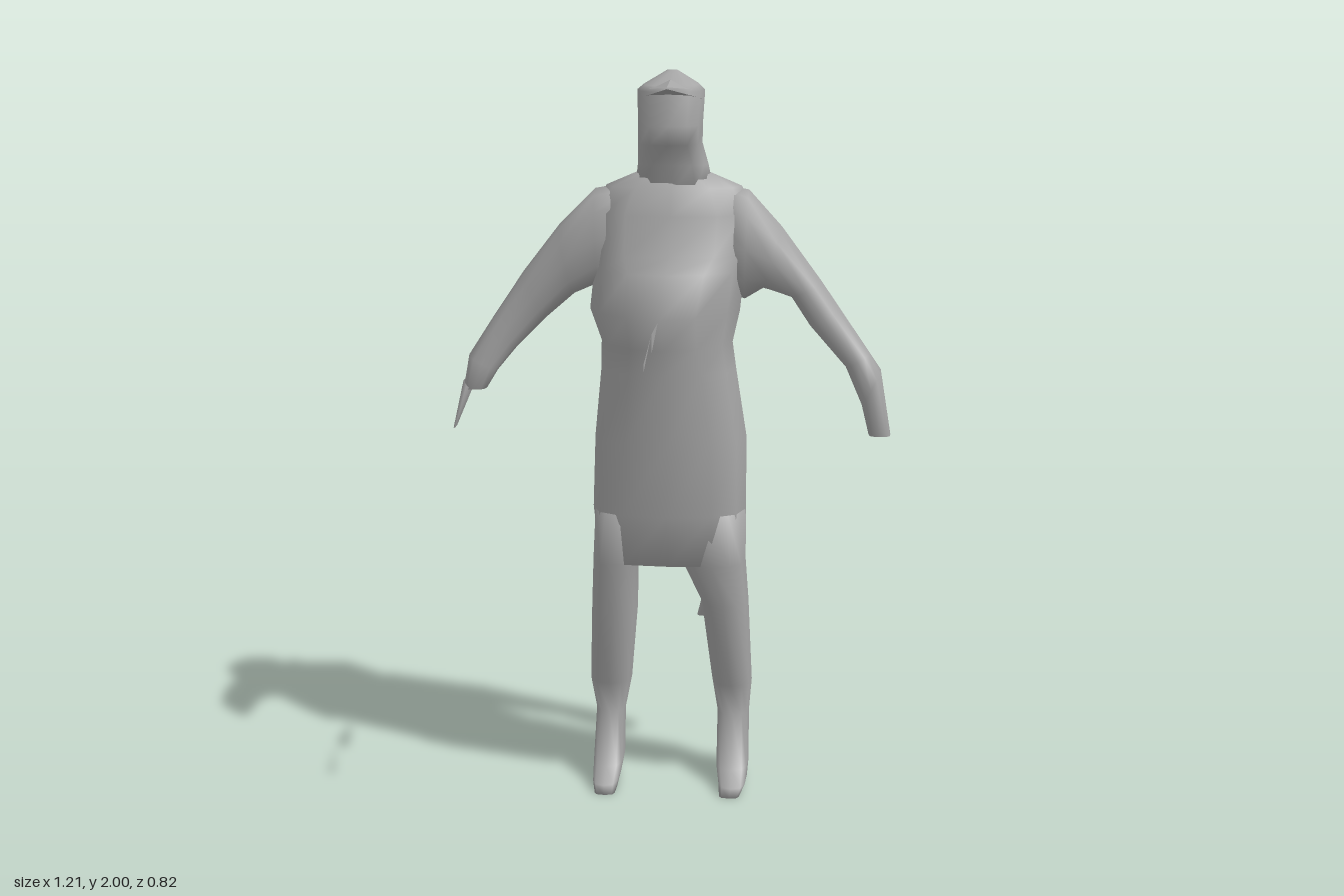
import * as THREE from 'three';

const SIDES = 12;

// Each ring: [ax, ay, bx, by, zFront, zBack, roundness]; a and b are the two ends of its width.
function loft(rings) {
  const pos = [], idx = [];
  for (const [ax, ay, bx, by, zf, zb, e = 0.8] of rings) {
    const cz = (zf + zb) / 2, rz = (zf - zb) / 2;
    for (let i = 0; i < SIDES; i++) {
      const t = (i / SIDES) * Math.PI * 2;
      const c = Math.sign(Math.cos(t)) * Math.abs(Math.cos(t)) ** e;
      const s = Math.sign(Math.sin(t)) * Math.abs(Math.sin(t)) ** e;
      const k = (1 + c) / 2;
      pos.push(ax + (bx - ax) * k, ay + (by - ay) * k, cz + rz * s);
    }
  }
  const n = rings.length;
  for (let r = 0; r < n - 1; r++) {
    for (let i = 0; i < SIDES; i++) {
      const a = r * SIDES + i, b = r * SIDES + (i + 1) % SIDES;
      idx.push(a, a + SIDES, b, b, a + SIDES, b + SIDES);
    }
  }
  // end caps
  for (const r of [0, n - 1]) {
    const [ax, ay, bx, by, zf, zb] = rings[r];
    const centre = pos.length / 3;
    pos.push((ax + bx) / 2, (ay + by) / 2, (zf + zb) / 2);
    for (let i = 0; i < SIDES; i++) {
      const a = r * SIDES + i, b = r * SIDES + (i + 1) % SIDES;
      if (r === 0) idx.push(centre, a, b); else idx.push(centre, b, a);
    }
  }
  // turn faces outward
  const p = (i) => new THREE.Vector3().fromArray(pos, i * 3);
  let volume = 0;
  for (let i = 0; i < idx.length; i += 3) volume += p(idx[i]).dot(p(idx[i + 1]).cross(p(idx[i + 2])));
  if (volume < 0) idx.reverse();
  const g = new THREE.BufferGeometry();
  g.setAttribute('position', new THREE.Float32BufferAttribute(pos, 3));
  g.setIndex(idx);
  g.computeVertexNormals();
  return g;
}

// level ring from x range and z range
const level = (y, x0, x1, zf, zb, e) => [x0, y, x1, y, zf, zb, e];

function triangles(points) {
  const g = new THREE.BufferGeometry();
  g.setAttribute('position', new THREE.Float32BufferAttribute(points.flat(), 3));
  g.computeVertexNormals();
  return g;
}

export function createModel() {
  const model = new THREE.Group();
  const grey = new THREE.MeshStandardMaterial({ color: 0xa6a6a6 });
  grey.name = 'plain grey';
  const thinGrey = grey.clone();
  thinGrey.side = THREE.DoubleSide;
  const add = (name, geometry, material = grey) => {
    const mesh = new THREE.Mesh(geometry, material);
    mesh.name = name;
    model.add(mesh);
  };

  // torso and long apron
  add('torso', loft([
    level(0.65, -0.2, 0.2, -0.1, -0.29, 0.7),
    level(0.8, -0.215, 0.21, -0.06, -0.31, 0.8),
    level(1.0, -0.21, 0.21, -0.05, -0.35, 0.85),
    level(1.2, -0.19, 0.18, -0.03, -0.34, 0.9),
    level(1.27, -0.19, 0.17, -0.03, -0.35, 1),
    level(1.36, -0.22, 0.19, 0.0, -0.36, 1.15),
    level(1.47, -0.21, 0.2, -0.05, -0.36, 1),
    level(1.51, -0.21, 0.21, -0.1, -0.36, 0.8),
    level(1.62, -0.21, 0.22, -0.12, -0.35, 0.8),
    level(1.69, -0.18, 0.19, -0.16, -0.33, 0.9),
    level(1.73, -0.09, 0.1, -0.18, -0.28, 1),
  ]));

  // neck, head with cap, and peak
  add('head', loft([
    level(1.68, -0.1, 0.115, -0.16, -0.28),
    level(1.75, -0.092, 0.1, -0.18, -0.27),
    level(1.81, -0.09, 0.085, -0.12, -0.285),
    level(1.86, -0.09, 0.085, -0.12, -0.3),
    level(1.95, -0.093, 0.09, -0.13, -0.32),
    level(1.965, -0.075, 0.075, -0.14, -0.31),
    level(2.0, -0.015, 0.015, -0.23, -0.26),
  ]));
  add('capPeak', triangles([
    [-0.085, 1.95, -0.2], [0, 1.97, -0.055], [0, 1.98, -0.18],
    [0, 1.98, -0.18], [0, 1.97, -0.055], [0.085, 1.95, -0.2],
    [-0.085, 1.93, -0.18], [0.085, 1.93, -0.18], [0, 1.965, -0.055],
  ]), thinGrey);

  // backpack
  add('backpack', loft([
    level(1.25, -0.03, 0.03, -0.28, -0.35, 0.6),
    level(1.36, -0.08, 0.08, -0.28, -0.41, 0.5),
    level(1.5, -0.1, 0.1, -0.27, -0.395, 0.4),
    level(1.69, -0.12, 0.115, -0.26, -0.41, 0.3),
    level(1.715, -0.1, 0.1, -0.25, -0.33, 0.3),
  ]));

  // arms, from shoulder to hand
  add('leftArm', loft([
    [0.1, 1.7, 0.14, 1.4, -0.16, -0.34],
    [0.21, 1.68, 0.2, 1.38, -0.14, -0.345],
    [0.3, 1.58, 0.25, 1.41, -0.16, -0.33],
    [0.41, 1.43, 0.325, 1.39, -0.175, -0.32],
    [0.46, 1.36, 0.38, 1.31, -0.17, -0.29],
    [0.545, 1.24, 0.48, 1.2, -0.165, -0.25],
    [0.575, 1.2, 0.525, 1.1, -0.13, -0.24],
    [0.605, 1.02, 0.545, 1.02, -0.14, -0.21, 0.6],
  ]));
  add('rightArm', loft([
    [-0.1, 1.7, -0.14, 1.42, -0.16, -0.34],
    [-0.21, 1.68, -0.2, 1.42, -0.15, -0.34],
    [-0.31, 1.58, -0.27, 1.39, -0.16, -0.32],
    [-0.41, 1.45, -0.35, 1.32, -0.175, -0.315],
    [-0.49, 1.33, -0.43, 1.24, -0.17, -0.28],
    [-0.56, 1.22, -0.48, 1.18, -0.16, -0.245],
    [-0.575, 1.13, -0.51, 1.13, -0.155, -0.23],
  ]));
  add('rightFingers', loft([
    [-0.575, 1.15, -0.55, 1.13, -0.155, -0.23],
    [-0.603, 1.02, -0.597, 1.02, -0.16, -0.21],
  ]));

  // legs running into pointed feet
  add('rightLeg', loft([
    level(0.8, -0.21, -0.04, -0.08, -0.305),
    level(0.65, -0.218, -0.09, -0.1, -0.3),
    level(0.5, -0.225, -0.095, -0.13, -0.31),
    level(0.28, -0.233, -0.115, -0.175, -0.33),
    level(0.18, -0.218, -0.135, -0.22, -0.31),
    level(0.05, -0.22, -0.135, -0.12, -0.325, 0.6),
    level(0.02, -0.215, -0.14, -0.05, -0.28, 0.6),
    level(0, -0.205, -0.145, -0.03, -0.14, 0.5),
  ]));
  add('leftLeg', loft([
    level(0.8, 0.0, 0.21, -0.08, -0.305),
    level(0.65, 0.03, 0.21, -0.1, -0.3),
    level(0.53, 0.085, 0.218, -0.125, -0.31),
    level(0.28, 0.115, 0.228, -0.175, -0.33),
    level(0.18, 0.13, 0.22, -0.22, -0.31),
    level(0.05, 0.13, 0.222, -0.12, -0.325, 0.6),
    level(0.02, 0.14, 0.22, -0.05, -0.28, 0.6),
    level(0, 0.145, 0.205, -0.03, -0.14, 0.5),
  ]));
  // small flap inside the left knee
  add('kneeFlap', loft([
    level(0.64, 0.05, 0.12, -0.25, -0.3),
    level(0.54, 0.09, 0.15, -0.24, -0.31),
    level(0.46, 0.07, 0.12, -0.26, -0.29),
  ]));

  // two thin slivers standing out from the chest
  add('chestSlivers', triangles([
    [-0.02, 1.355, 0], [-0.02, 1.36, 0.2], [-0.02, 1.31, 0.2],
    [-0.02, 1.36, 0.21], [-0.022, 1.325, 0.41], [-0.022, 1.305, 0.41],
  ]), thinGrey);

  return model;
}
